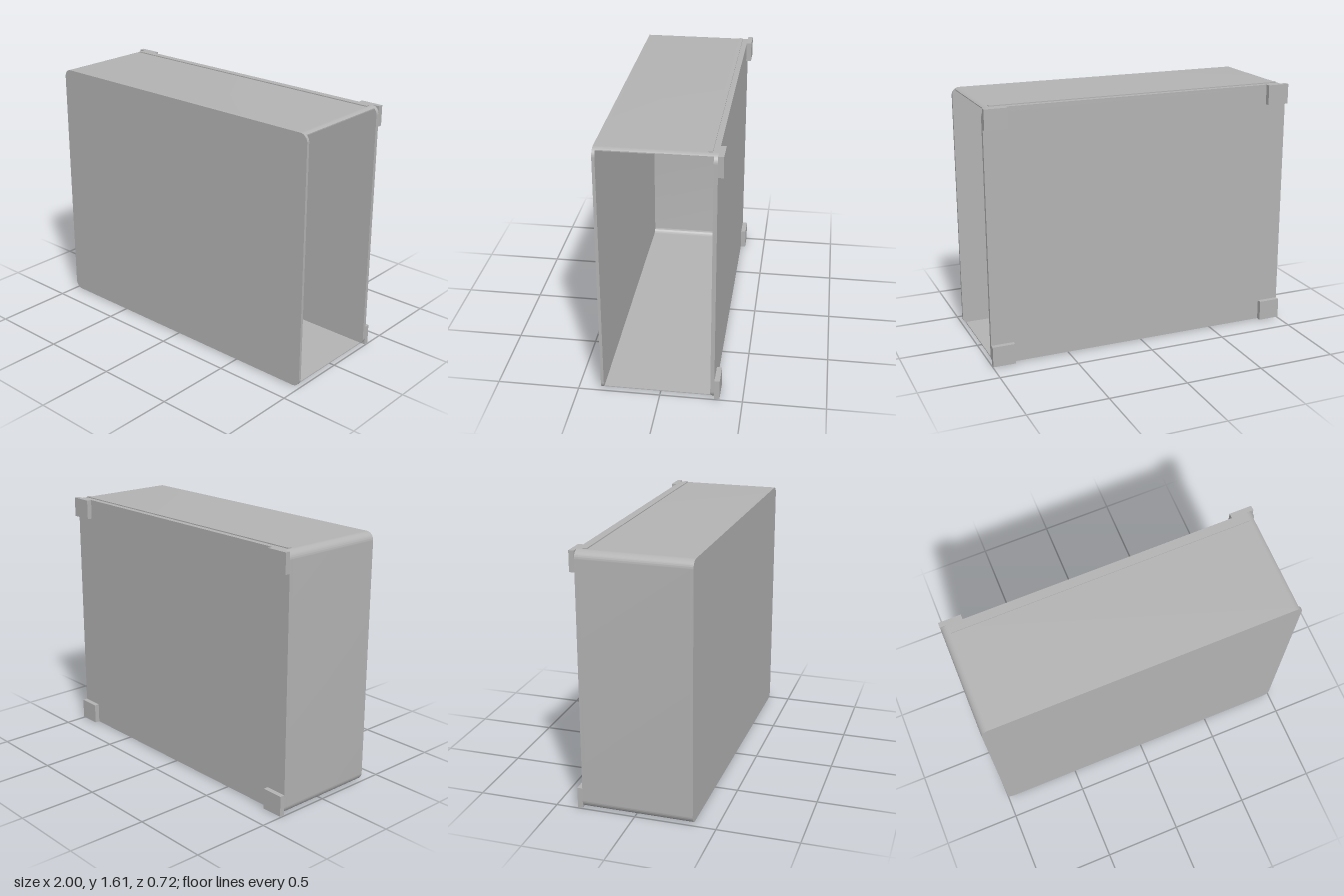
import * as THREE from 'three';
import { toCreasedNormals } from 'three/addons/utils/BufferGeometryUtils.js';

const BOTTOM = 0.006, TOP = 1.605, R = 0.05, WALL = 0.016;
const FRONT = 0.36, BACK = -0.33, OPEN_X = 0.98;

export function createModel() {
  const group = new THREE.Group();
  const grey = new THREE.MeshStandardMaterial({ color: 0xb3b3b3 });
  grey.name = 'plain grey';

  const add = (name, geometry) => {
    const mesh = new THREE.Mesh(geometry, grey);
    mesh.name = name;
    group.add(mesh);
    return mesh;
  };
  const extrude = (name, shape, z0, z1) => {
    const geometry = new THREE.ExtrudeGeometry(shape, { depth: z1 - z0, bevelEnabled: false, curveSegments: 12 });
    geometry.translate(0, 0, z0);
    return add(name, toCreasedNormals(geometry, 0.5));
  };
  const box = (name, x0, x1, y0, y1, z0, z1) => {
    const mesh = add(name, new THREE.BoxGeometry(x1 - x0, y1 - y0, z1 - z0));
    mesh.position.set((x0 + x1) / 2, (y0 + y1) / 2, (z0 + z1) / 2);
  };

  // Front and back panels with rounded corners
  const panel = new THREE.Shape();
  panel.absarc(1 - R, TOP - R, R, 0, Math.PI / 2);
  panel.absarc(-1 + R, TOP - R, R, Math.PI / 2, Math.PI);
  panel.absarc(-1 + R, BOTTOM + R, R, Math.PI, Math.PI * 1.5);
  panel.absarc(1 - R, BOTTOM + R, R, Math.PI * 1.5, Math.PI * 2);
  panel.closePath();
  extrude('frontPanel', panel, FRONT - 0.018, FRONT);
  extrude('backPanel', panel, BACK, BACK + 0.024);

  // Wrap-around wall: top, closed side and bottom, open at +x
  const cut = Math.acos((OPEN_X - 1 + R) / R);
  const r = R - WALL;
  const wall = new THREE.Shape();
  wall.absarc(1 - R, TOP - R, R, cut, Math.PI / 2);
  wall.absarc(-1 + R, TOP - R, R, Math.PI / 2, Math.PI);
  wall.absarc(-1 + R, BOTTOM + R, R, Math.PI, Math.PI * 1.5);
  wall.absarc(1 - R, BOTTOM + R, R, Math.PI * 1.5, Math.PI * 2 - cut);
  wall.lineTo(OPEN_X, BOTTOM + WALL);
  wall.absarc(-1 + R, BOTTOM + R, r, Math.PI * 1.5, Math.PI, true);
  wall.absarc(-1 + R, TOP - R, r, Math.PI, Math.PI / 2, true);
  wall.lineTo(OPEN_X, TOP - WALL);
  wall.closePath();
  extrude('wrapWall', wall, BACK + 0.024, FRONT - 0.018);

  // Thin raised strips along the top and bottom near the back
  box('topStrip', -0.95, 0.95, TOP - 0.004, TOP + 0.006, -0.296, -0.271);
  box('bottomStrip', -0.95, 0.95, 0, BOTTOM + 0.004, -0.296, -0.271);

  // Four mounting pads on the back corners
  for (const [side, x0, x1] of [['Left', 0.857, 1], ['Right', -1, -0.86]]) {
    box('upper' + side + 'Pad', x0, x1, 1.479, TOP, -0.362, BACK);
    box('lower' + side + 'Pad', x0, x1, BOTTOM, 0.136, -0.362, BACK);
  }

  return group;
}
